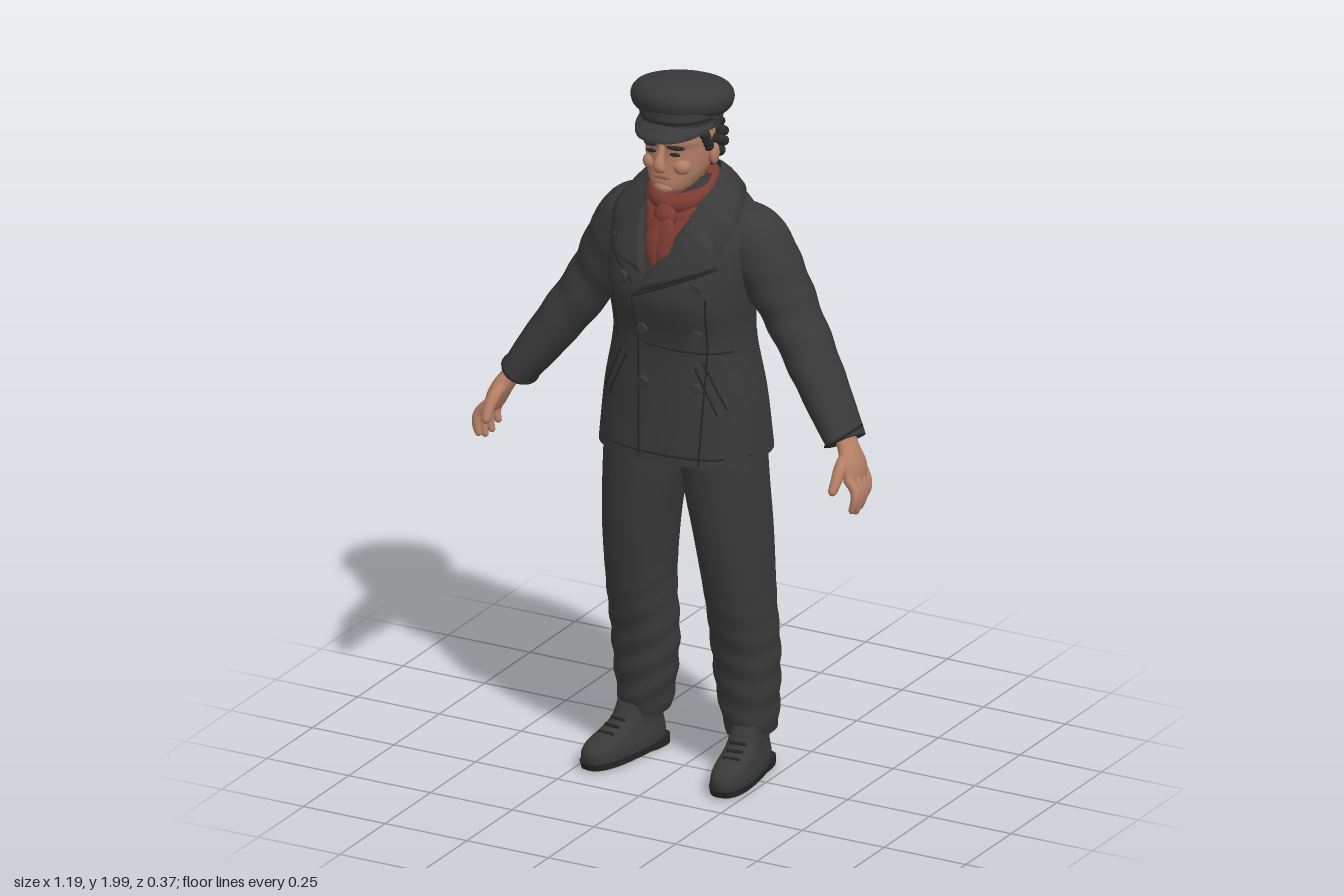
import * as THREE from 'three';

const V = (x, y, z) => new THREE.Vector3(x, y, z);
const mat = (name, color, side = THREE.FrontSide) => {
  const m = new THREE.MeshStandardMaterial({ color, side });
  m.name = name;
  return m;
};

// Smooth interpolation of a key table whose first column is the height
function sample(keys, y) {
  const last = keys.length - 1;
  let i = 0;
  while (i < last - 1 && y > keys[i + 1][0]) i++;
  const a = keys[i], b = keys[i + 1], h = b[0] - a[0];
  const t = THREE.MathUtils.clamp((y - a[0]) / h, 0, 1), t2 = t * t, t3 = t2 * t;
  const slope = (k, c) => {
    const p = keys[Math.max(k - 1, 0)], q = keys[Math.min(k + 1, last)];
    return (q[c] - p[c]) / (q[0] - p[0]);
  };
  return a.map((_, c) => (2 * t3 - 3 * t2 + 1) * a[c] + (t3 - 2 * t2 + t) * h * slope(i, c)
    + (3 * t2 - 2 * t3) * b[c] + (t3 - t2) * h * slope(i + 1, c));
}

// Closed skin over a stack of rings, with flat end caps
function skin(rings) {
  const n = rings[0].length, pos = [], idx = [];
  rings.forEach(r => r.forEach(p => pos.push(p.x, p.y, p.z)));
  for (let i = 0; i < rings.length - 1; i++) for (let j = 0; j < n; j++) {
    const a = i * n + j, b = i * n + (j + 1) % n;
    idx.push(a, a + n, b, b, a + n, b + n);
  }
  [rings[0], rings[rings.length - 1]].forEach((r, end) => {
    const base = pos.length / 3, c = V(0, 0, 0);
    r.forEach(p => { pos.push(p.x, p.y, p.z); c.addScaledVector(p, 1 / n); });
    pos.push(c.x, c.y, c.z);
    for (let j = 0; j < n; j++) {
      const k = base + (j + 1) % n;
      idx.push(base + n, end ? k : base + j, end ? base + j : k);
    }
  });
  return finish(pos, idx);
}
function finish(pos, idx) {
  const g = new THREE.BufferGeometry();
  g.setAttribute('position', new THREE.Float32BufferAttribute(pos, 3));
  g.setIndex(idx);
  g.computeVertexNormals();
  return g;
}

// Upright loft, keys are [y, centre x, half width, front z, back z]
function loftY(keys, n = 2, steps = 40, ripple = () => 1) {
  const y0 = keys[0][0], y1 = keys[keys.length - 1][0], seg = 36;
  const pw = v => Math.sign(v) * Math.abs(v) ** (2 / n);
  return skin(Array.from({ length: steps + 1 }, (_, i) => {
    const y = y0 + (y1 - y0) * i / steps, [, xc, rx, zf, zb] = sample(keys, y);
    return Array.from({ length: seg }, (_, j) => {
      const a = j / seg * Math.PI * 2, k = ripple(y, a);
      return V(xc + rx * k * pw(Math.cos(a)), y, (zf + zb) / 2 + (zf - zb) / 2 * k * pw(Math.sin(a)));
    });
  }));
}

// Loft along a path, points are [x, y, z, radius across, radius in depth]
function loftPath(pts, s = 1, steps = 30, seg = 20, ripple = () => 1) {
  const curve = new THREE.CatmullRomCurve3(pts.map(p => V(p[0] * s, p[1], p[2])));
  const radii = pts.map((p, i) => [i, p[3], p[4] ?? p[3]]);
  return skin(Array.from({ length: steps + 1 }, (_, i) => {
    const t = i / steps, c = curve.getPoint(t), d = curve.getTangent(t);
    const v = V(0, 0, 1).addScaledVector(d, -d.z).normalize(), u = d.clone().cross(v);
    const [, ru, rv] = sample(radii, t * (pts.length - 1));
    return Array.from({ length: seg }, (_, j) => {
      const a = j / seg * Math.PI * 2, k = ripple(t, a);
      return c.clone().addScaledVector(u, Math.cos(a) * ru * k).addScaledVector(v, Math.sin(a) * rv * k);
    });
  }));
}

// Open sheet from a rule f(u, v)
function sheet(f, nu, nv) {
  const pos = [], idx = [];
  for (let i = 0; i <= nu; i++) for (let j = 0; j <= nv; j++) pos.push(...f(i / nu, j / nv).toArray());
  for (let i = 0; i < nu; i++) for (let j = 0; j < nv; j++) {
    const a = i * (nv + 1) + j, b = a + nv + 1;
    idx.push(a, b, a + 1, a + 1, b, b + 1);
  }
  return finish(pos, idx);
}

const COAT = [[.935, 0, .238, .165, -.188], [1.1, 0, .222, .152, -.17], [1.27, 0, .193, .145, -.152],
  [1.4, 0, .2, .17, -.163], [1.5, 0, .208, .148, -.17], [1.58, 0, .205, .115, -.163],
  [1.64, 0, .165, .085, -.147], [1.69, 0, .1, .065, -.12], [1.72, 0, .075, .06, -.1]];
// Point on the coat, side 1 for the front and -1 for the back
function onCoat(x, y, off = 0, side = 1) {
  const [, , rx, zf, zb] = sample(COAT, y);
  const k = Math.max(0, 1 - Math.abs(x / rx) ** 2.5) ** .4;
  return V(x, y, (zf + zb) / 2 + side * ((zf - zb) / 2 * k + off));
}
// Padded four-cornered panel laid on the coat front
const panel = (A, B, C, D, off) => sheet((u, v) => {
  const m = c => (A[c] * (1 - u) + B[c] * u) * (1 - v) + (D[c] * (1 - u) + C[c] * u) * v;
  return onCoat(m(0), m(1), u * v * (1 - u) * (1 - v) < 1e-6 ? -.004 : off);
}, 12, 12);

export function createModel() {
  const root = new THREE.Group();
  root.name = 'workman';
  const cloth = mat('charcoal cloth', 0x393939, THREE.DoubleSide), dark = mat('dark seam', 0x262626);
  const hairM = mat('dark hair', 0x2b2a29), skinM = mat('skin', 0xb47e65);
  const red = mat('red scarf', 0x7c3b31, THREE.DoubleSide), lip = mat('lip', 0x87584a);
  const add = (name, geo, m, p, parent = root) => {
    const o = new THREE.Mesh(geo, m);
    o.name = name;
    if (p) o.position.set(...p);
    parent.add(o);
    return o;
  };
  const ball = (name, p, r, m) => {
    const o = add(name, new THREE.SphereGeometry(1, 20, 14), m, p);
    o.scale.set(...r);
    return o;
  };
  const cord = (name, pts, r, m) =>
    add(name, new THREE.TubeGeometry(new THREE.CatmullRomCurve3(pts), 24, r, 6), m);
  const seam = (name, x0, y0, x1, y1, side = 1) => cord(name, Array.from({ length: 9 }, (_, i) =>
    onCoat(x0 + (x1 - x0) * i / 8, y0 + (y1 - y0) * i / 8, 0, side)), .003, dark);

  // Coat body, lapels, front seams and buttons
  add('coat', loftY(COAT, 2.5, 60), cloth);
  add('rightLapel', panel([-.075, 1.645], [-.15, 1.56], [-.16, 1.505], [-.03, 1.46], .013), cloth);
  add('leftLapel', panel([.075, 1.645], [.15, 1.56], [.162, 1.505], [-.07, 1.405], .018), cloth);
  seam('lapelEdge', .162, 1.503, -.07, 1.403);
  seam('lapelEdge', -.16, 1.503, -.07, 1.44);
  seam('frontEdge', -.07, 1.41, -.05, .94);
  seam('frontDart', .14, 1.42, .125, .94);
  seam('frontDart', -.14, 1.42, -.145, 1.24);
  seam('waistSeam', -.04, 1.265, .185, 1.255);
  seam('yokeSeam', -.17, 1.585, .17, 1.585, -1);
  seam('backWaistSeam', -.18, 1.26, .18, 1.26, -1);
  for (const side of [1, -1]) seam('hemStitch', -.23, .96, .23, .96, side);
  for (const [x, y] of [[-.045, 1.31], [-.045, 1.155], [.113, 1.31], [.113, 1.155], [.118, 1.45], [-.105, 1.45]]) {
    const b = add('button', new THREE.CylinderGeometry(.015, .017, .012, 16), cloth, onCoat(x, y, .006).toArray());
    b.rotation.set(Math.PI / 2, 0, -x * 2);
  }

  for (const s of [1, -1]) {
    const side = s > 0 ? 'left' : 'right';
    seam(side + 'BackSeam', s * .125, 1.58, s * .115, .95, -1);
    seam(side + 'Pocket', s * .185, 1.1, s * .125, 1.23);
    seam(side + 'PocketWelt', s * .165, 1.085, s * .105, 1.215);

    // Collar half: rises behind the neck and falls to a point on the chest
    const inner = new THREE.CatmullRomCurve3([V(0, 1.735, -.1), V(.07, 1.735, -.072), V(.1, 1.715, 0),
      V(.09, 1.665, .065), V(.07, 1.635, .1)]);
    const outer = new THREE.CatmullRomCurve3([V(0, 1.66, -.158), V(.105, 1.665, -.13), V(.165, 1.655, -.04),
      V(.185, 1.6, .06), V(.162, 1.545, .105)]);
    add(side + 'Collar', sheet((u, v) => {
      const w = Math.min(1, v * 1.25), p = inner.getPoint(u).lerp(outer.getPoint(u), w);
      p.y += Math.sin(w * Math.PI) * .01;
      if (v > .99) { p.x *= .92; p.z *= .88; p.y -= .008; }
      p.x *= s;
      return p;
    }, 24, 5), cloth);

    // Sleeve with soft folds at the elbow, and its cuff
    add(side + 'Sleeve', loftPath([[.13, 1.585, -.045, .065, .085], [.185, 1.545, -.05, .083, .1],
      [.235, 1.46, -.055, .084, .1], [.3, 1.345, -.055, .073, .088], [.385, 1.215, -.03, .066, .08],
      [.45, 1.12, -.005, .058, .074], [.503, 1.043, .015, .047, .07]], s, 60, 28,
    (t, a) => 1 + .03 * Math.sin(t * 48 + 2 * Math.cos(a)) * Math.exp(-(((t - .5) / .22) ** 2))), cloth);
    cord(side + 'CuffStitch', Array.from({ length: 13 }, (_, i) => {
      const a = i / 12 * Math.PI * 2;
      return V(s * (.494 + .04 * Math.cos(a)), 1.055 + .029 * Math.cos(a), .013 + .07 * Math.sin(a));
    }), .004, dark);

    // Hand: palm, four fingers and thumb
    add(side + 'Palm', loftPath([[.49, 1.075, .015, .03, .036], [.517, 1.035, .028, .026, .036],
      [.54, .995, .042, .026, .052], [.553, .955, .05, .019, .052], [.556, .94, .052, .01, .045]], s, 20, 20), skinM);
    for (let i = 0; i < 4; i++) {
      const z = .006 + i * .029, len = [.062, .08, .084, .072][i], o = .004 * i;
      add(side + 'Finger', loftPath([[.55, .97, z, .014], [.564 + o, .94, z + .004, .014],
        [.567 + o, .955 - len * .6, z + .01, .0125], [.558 + o, .955 - len, z + .013, .009],
        [.556 + o, .95 - len, z + .014, .003]], s, 16, 12), skinM);
    }
    add(side + 'Thumb', loftPath([[.525, 1.02, .055, .017], [.53, .995, .095, .018], [.532, .968, .122, .015],
      [.53, .942, .14, .012], [.529, .934, .144, .004]], s, 16, 12), skinM);

    // Trouser leg, rumpled below the knee
    add(side + 'Trouser', loftY([[.11, s * .162, .062, -.003, -.162], [.15, s * .16, .07, .008, -.165],
      [.24, s * .156, .082, .02, -.163], [.35, s * .154, .088, .035, -.16], [.5, s * .152, .087, .072, -.15],
      [.7, s * .14, .098, .105, -.143], [.88, s * .119, .113, .113, -.132], [1, s * .112, .113, .11, -.13]], 2.2, 80,
    (y, a) => 1 + .028 * Math.sin(y * 75 + 3 * Math.sin(a + s)) * THREE.MathUtils.smoothstep(.62 - y, 0, .35)), cloth);

    // Shoe: upper, sole, heel and laces
    const shoe = new THREE.Group();
    shoe.name = side + 'Shoe';
    shoe.position.set(s * .178, 0, 0);
    shoe.rotation.y = s * .15;
    root.add(shoe);
    add('upper', loftY([[.012, 0, .054, .17, -.148], [.045, 0, .055, .175, -.15], [.068, 0, .05, .158, -.146],
      [.085, 0, .046, .1, -.142], [.105, 0, .045, .045, -.14], [.15, 0, .045, .01, -.14]], 2.5, 30), cloth, null, shoe);
    add('sole', loftY([[.006, 0, .056, .172, -.15], [.024, 0, .058, .178, -.152]], 2.6, 2), dark, null, shoe);
    add('heel', loftY([[0, 0, .052, -.03, -.15], [.025, 0, .053, -.025, -.151]], 3, 2), dark, null, shoe);
    for (let i = 0; i < 3; i++) {
      const lace = add('lace', new THREE.CapsuleGeometry(.005, .04, 4, 8), dark, [0, .088 + i * .012, .088 - i * .026], shoe);
      lace.rotation.z = Math.PI / 2;
    }

    // Ear, eye, brow and cheek
    ball(side + 'Ear', [s * .095, 1.79, .005], [.012, .03, .02], skinM);
    ball(side + 'Eye', [s * .036, 1.813, .117], [.016, .005, .008], dark);
    ball(side + 'Cheek', [s * .045, 1.775, .096], [.026, .024, .026], skinM);
    const brow = ball(side + 'Brow', [s * .038, 1.834, .117], [.025, .007, .012], hairM);
    brow.rotation.set(0, s * .35, -s * .12);
  }

  // Neck and scarf
  add('neck', loftPath([[0, 1.6, -.01, .062], [0, 1.67, .005, .06], [0, 1.77, .015, .062]], 1, 10, 24), skinM);
  const wrap = Array.from({ length: 16 }, (_, i) => {
    const a = i / 16 * Math.PI * 2;
    return V(.07 * Math.sin(a), 1.685 - .03 * Math.cos(a), .003 + .078 * Math.cos(a));
  });
  add('scarfWrap', new THREE.TubeGeometry(new THREE.CatmullRomCurve3(wrap, true), 48, .027, 14, true), red);
  add('scarfFront', panel([-.085, 1.66], [.085, 1.66], [.02, 1.49], [-.02, 1.49], .007), red);
  ball('scarfKnot', [0, 1.625, .103], [.034, .036, .028], red);
  for (const s of [1, -1]) add('scarfTail', loftPath([[0, 1.63, .11, .018, .014], [.014, 1.59, .128, .028, .014],
    [.014, 1.54, .145, .024, .012], [.006, 1.49, .152, .012, .006]], s, 16, 14), red);

  // Head, nose and mouth
  add('head', loftY([[1.692, 0, .036, .105, .01], [1.705, 0, .052, .122, -.02], [1.725, 0, .066, .127, -.045],
    [1.755, 0, .08, .124, -.07], [1.79, 0, .088, .121, -.085], [1.825, 0, .091, .122, -.09],
    [1.845, 0, .093, .13, -.092], [1.9, 0, .093, .12, -.09]], 2.25, 40), skinM);
  add('nose', loftPath([[0, 1.838, .122, .009], [0, 1.81, .131, .011, .012], [0, 1.785, .139, .016, .016],
    [0, 1.774, .137, .019, .014], [0, 1.766, .128, .012, .008]], 1, 16, 14), skinM);
  ball('mouth', [0, 1.744, .124], [.026, .004, .006], lip);
  ball('chin', [0, 1.713, .112], [.03, .018, .02], skinM);

  // Hair: smooth mass with curls at the back and temples
  ball('hair', [0, 1.815, -.032], [.098, .093, .078], hairM);
  for (let i = 0; i < 90; i++) {
    const a = i * 2.39996, h = -1 + 1.7 * (i + .5) / 90, r = Math.sqrt(1 - h * h);
    const z = -.03 + .076 * r * Math.sin(a);
    if (z > .03) continue;
    ball('curl', [.096 * r * Math.cos(a), 1.815 + .088 * h, z], [.015, .014, .015], hairM);
  }
  for (const s of [1, -1]) for (let i = 0; i < 4; i++)
    ball('templeCurl', [s * (.093 - i * .001), 1.86 - i * .014, .055 - i * .009], [.014, .013, .017], hairM);

  // Cap: soft tilted crown, band and peak
  const cap = new THREE.Group();
  cap.name = 'cap';
  cap.position.set(-.015, 1.942, -.018);
  cap.rotation.set(-.17, 0, .04);
  root.add(cap);
  const profile = [[.085, -.062], [.108, -.055], [.128, -.04], [.138, -.015], [.134, .008], [.115, .027],
    [.08, .038], [.04, .042], [0, .043]].map(p => new THREE.Vector2(...p));
  const curve = new THREE.SplineCurve(profile);
  const crown = add('crown', new THREE.LatheGeometry(curve.getPoints(32).map(p => p.set(Math.max(p.x, 0), p.y)), 48), cloth, null, cap);
  crown.scale.z = 1.05;
  add('capBand', loftY([[1.868, 0, .1, .12, -.108], [1.895, -.003, .107, .127, -.118], [1.925, -.005, .108, .125, -.12]], 2.1, 10), cloth);
  add('peak', sheet((u, v) => {
    const a = (u - .5) * Math.PI * .92, w = Math.min(1, v * 1.15), under = v > .9 ? -.008 : 0;
    const out = .055 * Math.cos(a) * w;
    return V(-.003 + Math.sin(a) * (.104 + .006 * w), 1.9 - .03 * w * Math.cos(a) - .012 * Math.abs(Math.sin(a)) + under,
      .012 + Math.cos(a) * .107 + out);
  }, 28, 8), cloth);
  cord('bandStrap', Array.from({ length: 13 }, (_, i) => {
    const a = (i / 12 - .5) * 2.7;
    return V(-.003 + .108 * Math.sin(a), 1.902, .005 + .122 * Math.cos(a));
  }), .005, dark);
  return root;
}
